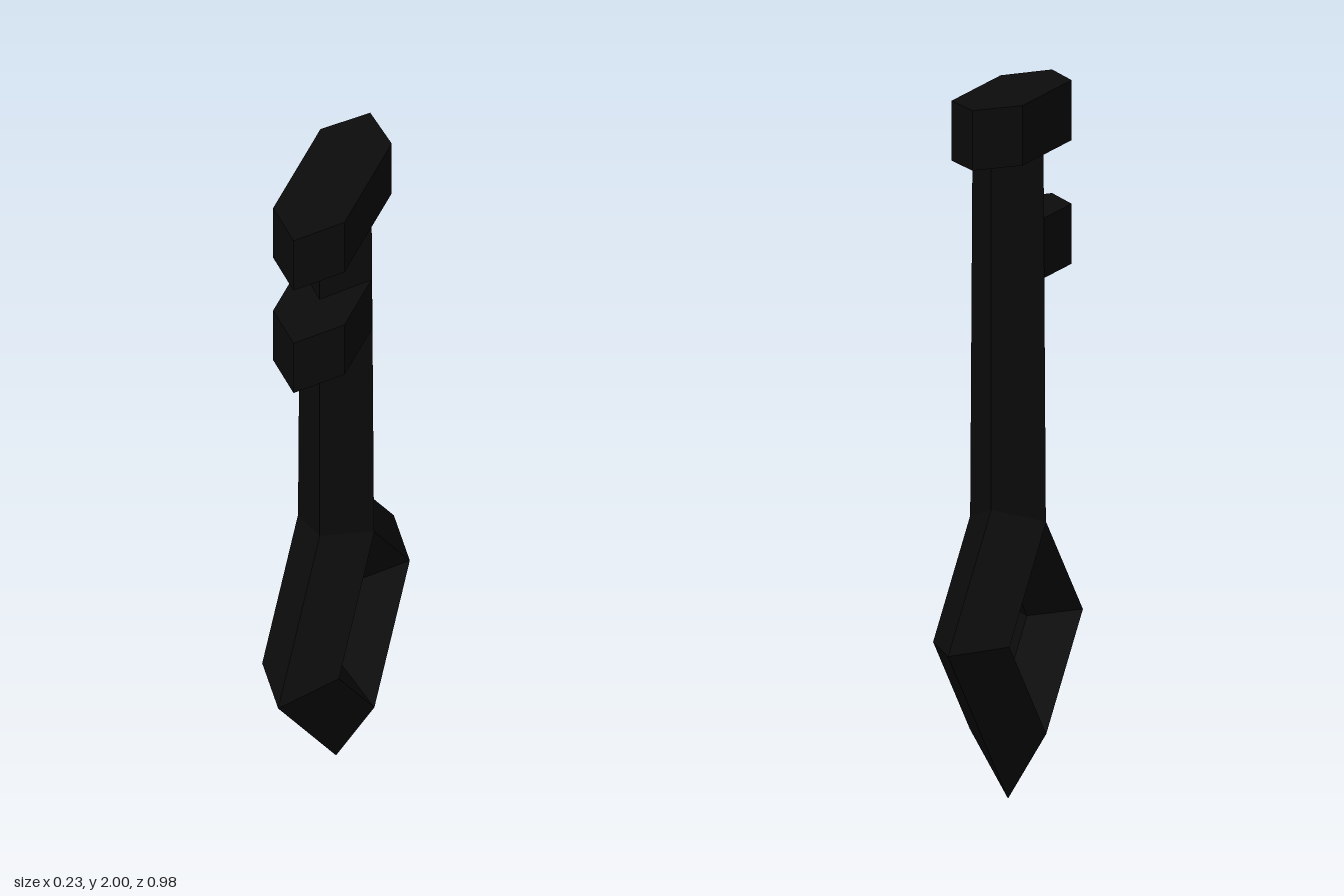
import * as THREE from 'three';

export function createModel() {
  const key = new THREE.Group();
  key.name = 'key';
  const black = new THREE.MeshStandardMaterial({ color: 0x0c0c0c, flatShading: true });
  black.name = 'black iron';

  const add = (name, geometry) => {
    const mesh = new THREE.Mesh(geometry, black);
    mesh.name = name;
    key.add(mesh);
    return mesh;
  };

  // Upright prism from an outline of [x, z] points between two heights
  const prism = (outline, bottom, top) => {
    const shape = new THREE.Shape(outline.map(([x, z]) => new THREE.Vector2(x, -z)));
    return new THREE.ExtrudeGeometry(shape, { depth: top - bottom, bevelEnabled: false })
      .rotateX(-Math.PI / 2)
      .translate(0, bottom, 0);
  };

  // Bow: square ring with a diamond cross-section, standing on one corner
  const section = [[0.49, 0], [0.3, 0.113], [0.155, 0], [0.3, -0.113], [0.49, 0]];
  const ring = new THREE.LatheGeometry(section.map(([r, h]) => new THREE.Vector2(r, h)), 4);
  add('bow', ring.rotateZ(Math.PI / 2).translate(0, 0.49, 0));

  // Shaft: diamond bar, slightly thinner across x toward the top
  const bottom = 0.78, top = 1.85;
  const bar = new THREE.CylinderGeometry(1, 1, top - bottom, 4).translate(0, (top + bottom) / 2, 0);
  const p = bar.attributes.position;
  for (let i = 0; i < p.count; i++) {
    const t = (p.getY(i) - bottom) / (top - bottom);
    p.setX(i, p.getX(i) * THREE.MathUtils.lerp(0.112, 0.105, t));
    p.setZ(i, p.getZ(i) * 0.138);
  }
  add('shaft', bar);

  // Tip block, pointed at front and back
  const w = 0.105;
  add('tipBlock', prism([[0, 0.36], [w, 0.23], [w, -0.17], [0, -0.29], [-w, -0.17], [-w, 0.23]], 1.83, 2));

  // Tooth on the front of the shaft
  add('tooth', prism([[0, 0.36], [w, 0.23], [w, 0], [-w, 0], [-w, 0.23]], 1.48, 1.65));

  return key;
}
